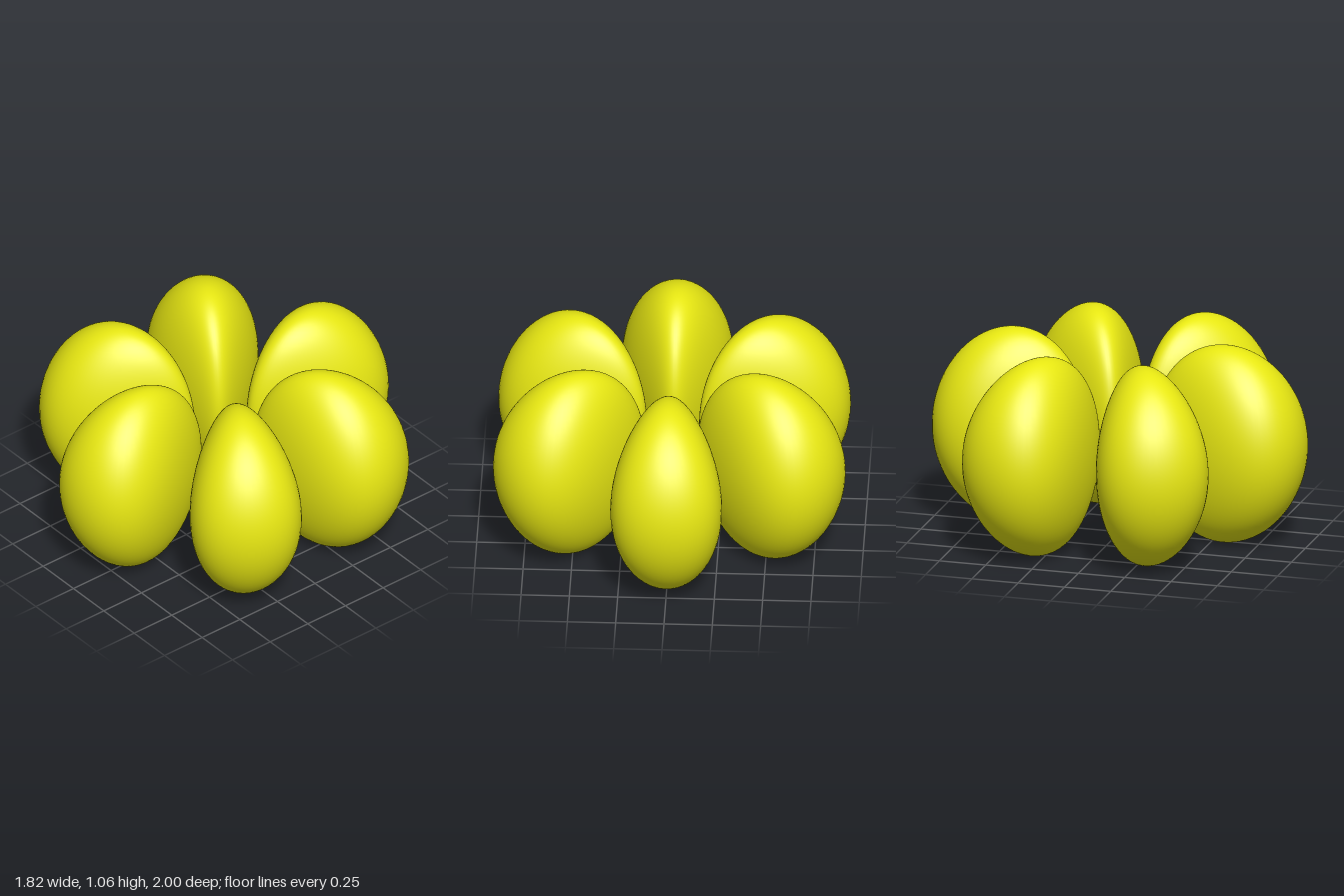
import * as THREE from 'three';
import { mergeVertices } from 'three/addons/utils/BufferGeometryUtils.js';

const LOBES = 6;
const INNER = 0.165, OUTER = 1.0;      // radial reach of a lobe
const HALF_HEIGHT = 0.529, HALF_WIDTH = 0.265;
const TAPER = 0.47;                    // narrows the lobe towards the centre

// Teardrop lobe along +z: a sphere stretched, then tapered towards the axis
function lobeGeometry() {
  const sphere = new THREE.SphereGeometry(1, 64, 48);
  sphere.deleteAttribute('uv');
  sphere.deleteAttribute('normal');
  const geometry = mergeVertices(sphere, 1e-5);
  const p = geometry.attributes.position;
  const mid = (INNER + OUTER) / 2, reach = (OUTER - INNER) / 2;
  for (let i = 0; i < p.count; i++) {
    const x = p.getX(i), y = p.getY(i), z = p.getZ(i);
    p.setXYZ(
      i,
      x * HALF_WIDTH * (1 + TAPER * z),
      HALF_HEIGHT * (1 + y * (1 - 0.05 * z)),
      mid + reach * z
    );
  }
  geometry.computeVertexNormals();
  return geometry;
}

export function createModel() {
  const model = new THREE.Group();
  model.name = 'lobedRing';
  const material = new THREE.MeshStandardMaterial({ color: 0xe8e812 });
  const geometry = lobeGeometry();

  // Ring of separate lobes around the vertical axis
  for (let i = 0; i < LOBES; i++) {
    const lobe = new THREE.Mesh(geometry, material);
    lobe.name = `lobe${i + 1}`;
    lobe.rotation.y = (i / LOBES) * Math.PI * 2;
    model.add(lobe);
  }
  return model;
}
